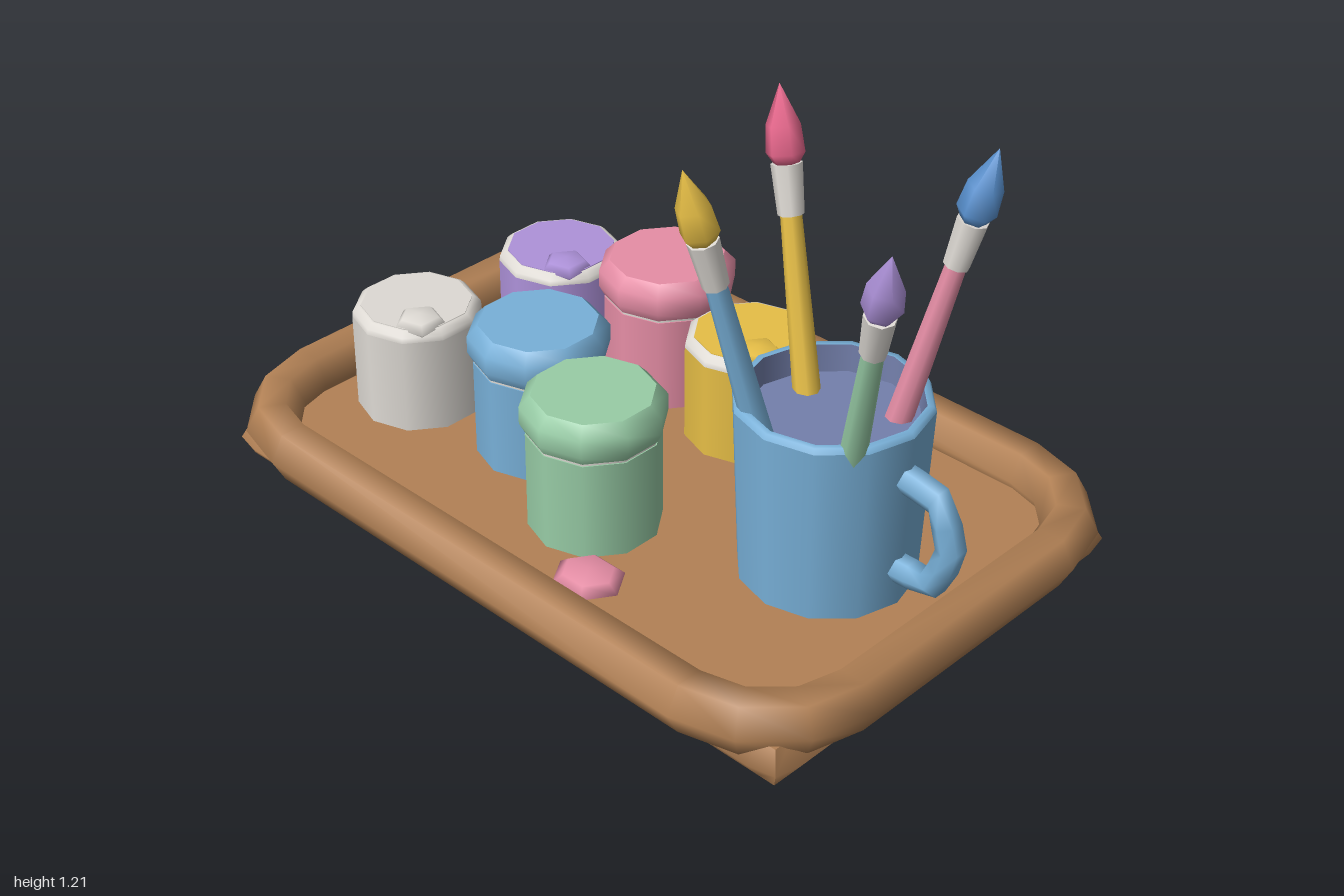
import * as THREE from 'three';

const makeMaterial = (name, color) => {
  const m = new THREE.MeshStandardMaterial({ color });
  m.name = name;
  return m;
};

const V2 = (pts) => pts.map(([x, y]) => new THREE.Vector2(x, y));

export function createModel() {
  const model = new THREE.Group();
  model.name = 'paintTray';
  const mat = {
    wood: makeMaterial('wood', 0xb28155),
    blue: makeMaterial('blue', 0x78b0d8),
    green: makeMaterial('green', 0x98cca6),
    pink: makeMaterial('pink', 0xe68ea6),
    yellow: makeMaterial('yellow', 0xe6be46),
    purple: makeMaterial('purple', 0xae92da),
    white: makeMaterial('white', 0xdedad4),
    crimson: makeMaterial('crimson', 0xe4658a),
    deepBlue: makeMaterial('deepBlue', 0x5a93d2),
    water: makeMaterial('water', 0x7480ac),
  };

  const add = (parent, name, geometry, material, x = 0, y = 0, z = 0) => {
    const mesh = new THREE.Mesh(geometry, material);
    mesh.name = name;
    mesh.position.set(x, y, z);
    parent.add(mesh);
    return mesh;
  };
  const group = (name, x = 0, y = 0, z = 0) => {
    const g = new THREE.Group();
    g.name = name;
    g.position.set(x, y, z);
    model.add(g);
    return g;
  };
  // Turned part; profile runs from bottom to top along the outside
  const turned = (pts, sides) => new THREE.LatheGeometry(V2(pts), sides);

  // Tray base: slab whose sides bulge at mid height
  const base = new THREE.BoxGeometry(1.8, 0.1, 1.14, 3, 2, 3);
  const p = base.attributes.position;
  for (let i = 0; i < p.count; i++) {
    let x = p.getX(i), z = p.getZ(i);
    const sx = Math.sign(x), sz = Math.sign(z);
    const onX = Math.abs(x) > 0.89, onZ = Math.abs(z) > 0.56;
    if (!onX) x = sx * 0.85;
    if (!onZ) z = sz * 0.52;
    if (Math.abs(p.getY(i)) < 0.01) {
      const out = onX && onZ ? 0.022 : 0.037;
      if (onX) x += sx * out;
      if (onZ) z += sz * out;
    }
    p.setXYZ(i, x, p.getY(i), z);
  }
  base.computeVertexNormals();
  add(model, 'trayBase', base, mat.wood, 0, 0.05, 0);

  // Tray rim: six-sided section swept round a rounded rectangle
  const rimPos = [], rimIndex = [];
  const CORNER_STEPS = 3, SIDES = 6, RINGS = 4 * (CORNER_STEPS + 1);
  for (let c = 0; c < 4; c++) {
    const cx = 0.68 * (c === 0 || c === 3 ? 1 : -1);
    const cz = 0.355 * (c < 2 ? 1 : -1);
    for (let s = 0; s <= CORNER_STEPS; s++) {
      const a = (c + s / CORNER_STEPS) * Math.PI / 2;
      for (let k = 0; k < SIDES; k++) {
        const b = k / SIDES * Math.PI * 2;
        const r = 0.25 + 0.07 * Math.cos(b);
        rimPos.push(cx + r * Math.cos(a), 0.125 + 0.075 * Math.sin(b), cz + r * Math.sin(a));
      }
    }
  }
  for (let i = 0; i < RINGS; i++) {
    for (let k = 0; k < SIDES; k++) {
      const k2 = (k + 1) % SIDES, j = (i + 1) % RINGS;
      const A = i * SIDES + k, B = i * SIDES + k2, C = j * SIDES + k2, D = j * SIDES + k;
      rimIndex.push(A, B, C, A, C, D);
    }
  }
  const rim = new THREE.BufferGeometry();
  rim.setAttribute('position', new THREE.Float32BufferAttribute(rimPos, 3));
  rim.setIndex(rimIndex);
  rim.computeVertexNormals();
  add(model, 'trayRim', rim, mat.wood);

  // Jars: shared body, then either a lid or open paint
  const FLOOR = 0.1;
  const jar = (name, x, z, material) => {
    const g = group(name, x, FLOOR, z);
    add(g, 'jarBody', new THREE.CylinderGeometry(0.165, 0.165, 0.26, 10), material, 0, 0.13, 0);
    return g;
  };
  const lidGeo = turned([[0, 0], [0.165, 0], [0.165, 0], [0.178, 0.025], [0.178, 0.07],
    [0.15, 0.1], [0.15, 0.1], [0, 0.1]], 10);
  const neckGeo = new THREE.CylinderGeometry(0.162, 0.162, 0.02, 10);
  for (const [name, x, z, m] of [
    ['blueLiddedJar', -0.29, 0.125, mat.blue],
    ['greenLiddedJar', 0.03, 0.25, mat.green],
    ['pinkLiddedJar', -0.285, -0.325, mat.pink],
  ]) {
    const g = jar(name, x, z, m);
    add(g, 'jarNeck', neckGeo, mat.white, 0, 0.262, 0);
    add(g, 'jarLid', lidGeo, m, 0, 0.267, 0);
  }

  const lipGeo = turned([[0.165, 0], [0.163, 0.014], [0.148, 0.028], [0.135, 0.028]], 10);
  const paintGeo = new THREE.CylinderGeometry(0.142, 0.142, 0.03, 10);
  const dabGeo = new THREE.SphereGeometry(0.07, 5, 4);
  for (const [name, x, z, m] of [
    ['whiteOpenJar', -0.675, 0.19, mat.white],
    ['purpleOpenJar', -0.615, -0.262, mat.purple],
    ['yellowOpenJar', 0.035, -0.29, mat.yellow],
  ]) {
    const g = jar(name, x, z, m);
    add(g, 'jarLip', lipGeo, mat.white, 0, 0.26, 0);
    add(g, 'paintSurface', paintGeo, m, 0, 0.275, 0);
    add(g, 'paintDab', dabGeo, m, 0.08, 0.285, 0.058).scale.y = 0.38;
  }

  // Paint drops on the tray floor
  const dropGeo = new THREE.SphereGeometry(0.1, 6, 4);
  for (const [x, z, m] of [[0.19, 0.43, mat.pink], [-0.76, -0.455, mat.blue]]) {
    add(model, 'paintDrop', dropGeo, m, x, FLOOR, z).scale.set(0.95, 0.3, 0.85);
  }

  // Mug with water
  const mug = group('mug', 0.55, FLOOR, 0);
  add(mug, 'mugWall', turned([[0, 0], [0.215, 0], [0.215, 0], [0.235, 0.465], [0.235, 0.465],
    [0.228, 0.478], [0.213, 0.478]], 12), mat.blue);
  add(mug, 'mugInside', turned([[0.213, 0.478], [0.211, 0.4]], 12), mat.water);
  add(mug, 'waterSurface', new THREE.CylinderGeometry(0.214, 0.214, 0.01, 12), mat.water, 0, 0.4, 0);
  const handlePath = new THREE.CurvePath();
  const hp = [[0.19, 0.355], [0.315, 0.335], [0.355, 0.22], [0.31, 0.108], [0.19, 0.1]]
    .map(([x, y]) => new THREE.Vector3(x, y, 0));
  for (let i = 0; i < hp.length - 1; i++) handlePath.add(new THREE.LineCurve3(hp[i], hp[i + 1]));
  const handleCurve = new THREE.CatmullRomCurve3(hp, false, 'catmullrom', 0.2);
  add(mug, 'mugHandle', new THREE.TubeGeometry(handleCurve, 8, 0.036, 6), mat.blue);

  // Brushes: each stands along a line through a point at y = 0.6
  const tipGeo = turned([[0, 0], [0.03, 0], [0.046, 0.025], [0.041, 0.09], [0, 0.185]], 6);
  const up = new THREE.Vector3(0, 1, 0);
  for (const [x, z, dx, dz, handle, tip, lift] of [
    [0.395, -0.07, -0.262, -0.12, mat.yellow, mat.crimson, 0],
    [0.45, 0.175, -0.125, 0.233, mat.blue, mat.yellow, 0],
    [0.67, -0.13, 0.217, -0.125, mat.pink, mat.deepBlue, 0.01],
    [0.725, 0.13, 0.28, 0.2, mat.green, mat.purple, -0.02],
  ]) {
    const brush = group('brush', x, 0.6, z);
    brush.quaternion.setFromUnitVectors(up, new THREE.Vector3(dx, 1, dz).normalize());
    add(brush, 'brushHandle', new THREE.CylinderGeometry(0.025, 0.034, 0.48, 8), handle, 0, 0.085 + lift, 0);
    add(brush, 'brushFerrule', new THREE.CylinderGeometry(0.037, 0.031, 0.12, 8), mat.white, 0, 0.378 + lift, 0);
    add(brush, 'brushTip', tipGeo, tip, 0, 0.437 + lift, 0);
  }

  return model;
}
